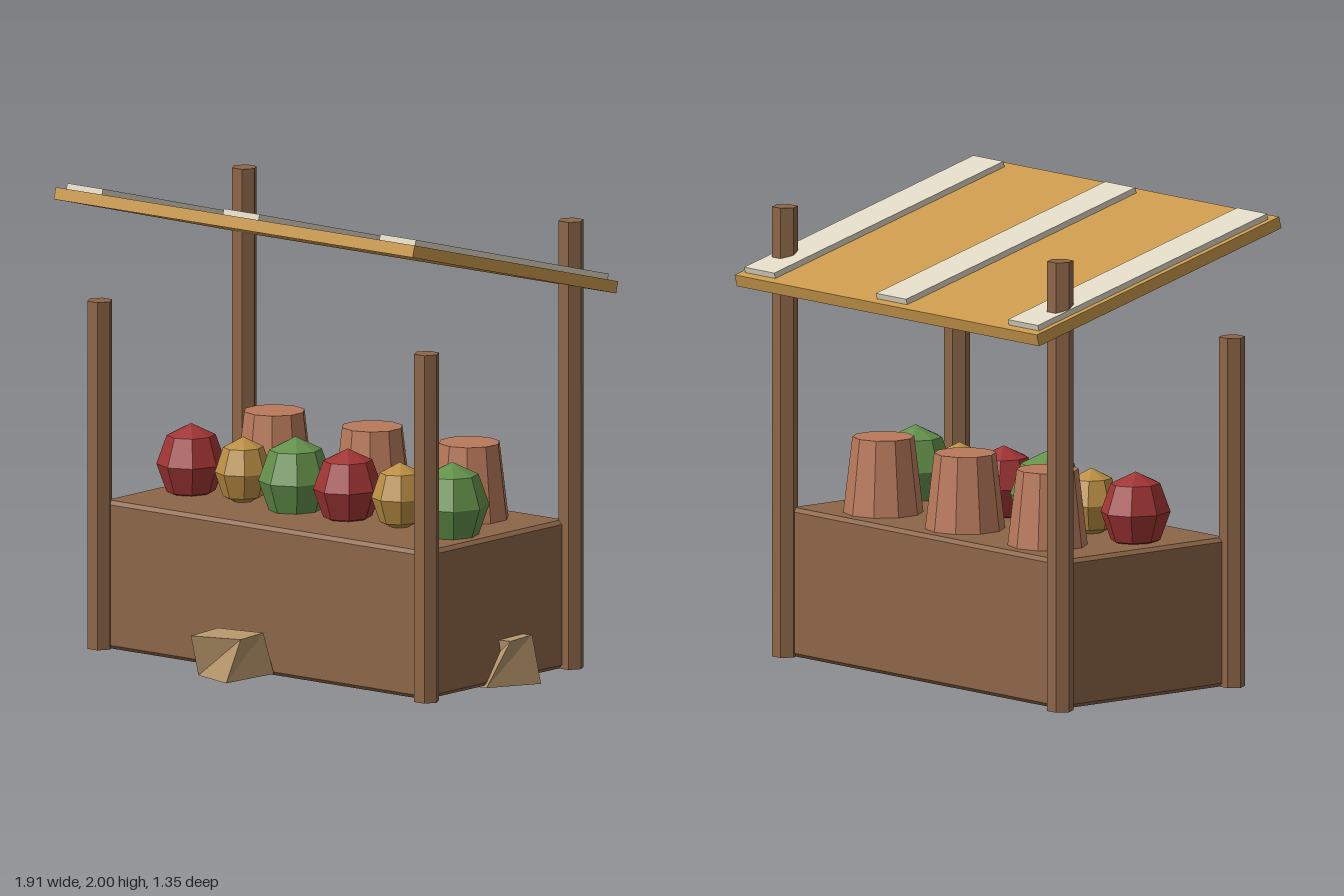
import * as THREE from 'three';

function mat(name, color) {
  const m = new THREE.MeshStandardMaterial({ color, flatShading: true });
  m.name = name;
  return m;
}

// Box whose eight corners are moved; corner index = (x>0) + 2*(y>0) + 4*(z>0)
function skewedBox(corners) {
  const g = new THREE.BoxGeometry(1, 1, 1);
  const p = g.attributes.position;
  for (let i = 0; i < p.count; i++) {
    p.setXYZ(i, ...corners[(p.getX(i) > 0) + 2 * (p.getY(i) > 0) + 4 * (p.getZ(i) > 0)]);
  }
  g.computeVertexNormals();
  return g;
}

// Upright block with chamfered top and bottom edges, standing on y = 0
function chamferedBlock(w, h, d, c) {
  const x = w / 2 - c, y = d / 2 - c;
  const shape = new THREE.Shape([[-x, -y], [x, -y], [x, y], [-x, y]].map((p) => new THREE.Vector2(...p)));
  const g = new THREE.ExtrudeGeometry(shape, {
    depth: h - 2 * c, bevelEnabled: true, bevelSegments: 1, bevelSize: c, bevelThickness: c,
  });
  return g.rotateX(-Math.PI / 2).translate(0, c, 0);
}

export function createModel() {
  const root = new THREE.Group();
  root.name = 'marketStall';
  const wood = mat('brown wood', 0x8c6648);
  const canvas = mat('ochre canvas', 0xca994c);
  const cream = mat('cream stripe', 0xdfd8c5);
  const clay = mat('terracotta', 0xb97a5b);
  const red = mat('red fruit', 0xa03534);
  const gold = mat('golden fruit', 0xbb8f44);
  const green = mat('green fruit', 0x63914b);
  const stone = mat('tan stone', 0xb8986c);

  function add(name, geometry, material, x = 0, y = 0, z = 0, parent = root) {
    const mesh = new THREE.Mesh(geometry, material);
    mesh.name = name;
    mesh.position.set(x, y, z);
    parent.add(mesh);
    return mesh;
  }

  // Counter, its corners buried in the posts
  add('counter', chamferedBlock(1.72, 0.617, 0.905, 0.016), wood, -0.002, 0.05, -0.022);

  // Hexagonal posts, taller at the back
  function post(name, x, z, top) {
    const h = top - 0.05;
    const p = add(name, new THREE.CylinderGeometry(0.054, 0.054, h, 6), wood, x, 0.05 + h / 2, z);
    p.rotation.y = Math.PI / 6;
  }
  for (const [side, x] of [['Left', 0.868], ['Right', -0.871]]) {
    post('frontPost' + side, x, 0.437, 1.498);
    post('backPost' + side, x, -0.483, 1.913);
  }

  // Sloping roof with raised stripes
  const roof = new THREE.Group();
  roof.name = 'roof';
  roof.position.set(0, 1.788, -0.025);
  roof.rotation.x = -0.261;
  root.add(roof);
  add('roofPanel', new THREE.BoxGeometry(1.91, 0.05, 1.342), canvas, 0, 0, 0, roof);
  for (const x of [-0.833, 0, 0.833]) {
    add('roofStripe', new THREE.BoxGeometry(0.19, 0.025, 1.27), cream, x, 0.0365, 0, roof);
  }

  // Row of faceted fruit, sunk slightly into the counter
  const kinds = [
    ['redFruit', red, 0.136, 0.165],
    ['goldenFruit', gold, 0.112, 0.144],
    ['greenFruit', green, 0.146, 0.18],
  ];
  for (let i = 0; i < 6; i++) {
    const [name, material, r, h] = kinds[i % 3];
    const fruit = add(name, new THREE.SphereGeometry(1, 8, 4), material, -0.688 + i * 0.278, 0.79, 0.075);
    fruit.scale.set(r, h, r * 1.1);
  }

  // Upturned pots behind the fruit
  for (const x of [-0.518, 0.003, 0.52]) {
    add('pot', new THREE.CylinderGeometry(0.127, 0.165, 0.32, 10), clay, x, 0.82, -0.252);
  }

  // Rough stones leaning on the counter
  add('frontStone', skewedBox([
    [-0.18, 0.04, 0.4], [0.055, 0.06, 0.436], [-0.19, 0.23, 0.5], [0.035, 0.235, 0.48],
    [-0.21, 0.045, 0.6], [0, 0.05, 0.675], [-0.2, 0.22, 0.66], [0.04, 0.23, 0.63],
  ]), stone);
  add('sideStone', skewedBox([
    [0.68, 0.06, -0.22], [0.945, 0.035, -0.2], [0.68, 0.22, -0.2], [0.91, 0.237, -0.185],
    [0.62, 0.002, -0.1], [0.88, 0.05, 0.07], [0.68, 0.22, -0.05], [0.925, 0.235, -0.03],
  ]), stone);

  return root;
}
